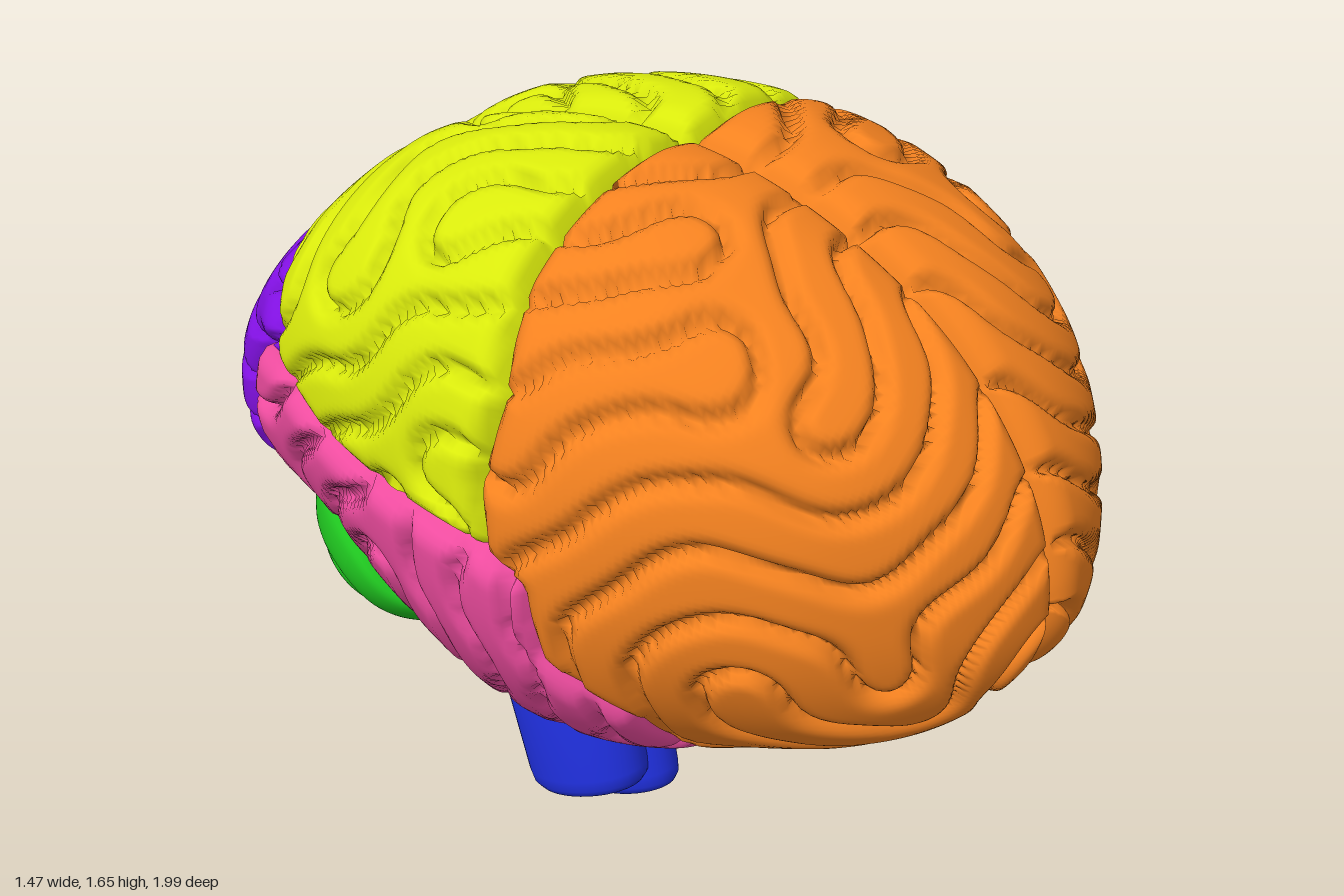
import * as THREE from 'three';

const material = (color) => new THREE.MeshStandardMaterial({ color });
const GREY = material(0xcccccc), BLUE = material(0x2030e0);

// Outline of the cerebrum at even angles from the front pole to the back pole
const TOP = [0.85, 1.05, 1.24, 1.41, 1.54, 1.63, 1.66, 1.63, 1.54, 1.37, 1.20, 1.06, 0.93];
const BOTTOM = [0.85, 0.70, 0.58, 0.49, 0.43, 0.35, 0.34, 0.45, 0.59, 0.65, 0.67, 0.77, 0.93];
const WIDTH = [0, 0.19, 0.37, 0.54, 0.66, 0.73, 0.72, 0.67, 0.59, 0.49, 0.37, 0.2, 0];
const NEGATIVE_WIDTH = WIDTH.map((w) => -w);

// Smooth lookup; past a pole the profile continues on the opposite side
function sample(table, opposite, u) {
  const get = (k) => (k < 0 ? opposite[-k] : k > 12 ? opposite[24 - k] : table[k]);
  const k = Math.min(11, Math.floor(u)), f = u - k;
  const a = get(k - 1), b = get(k), c = get(k + 1), d = get(k + 2);
  return b + 0.5 * f * (c - a + f * (2 * a - 5 * b + 4 * c - d + f * (3 * (b - c) + d - a)));
}

// Point on the smooth half cerebrum: t runs front to back, phi from top to underside
function basePoint(t, phi) {
  const u = (t / Math.PI) * 12;
  const top = sample(TOP, BOTTOM, u), bottom = sample(BOTTOM, TOP, u);
  const s = Math.sin(phi), c = Math.cos(phi), n = c > 0 ? 2.4 : 2.2;
  const r = Math.pow(Math.pow(Math.abs(s), n) + Math.pow(Math.abs(c), n), -1 / n);
  const x = sample(WIDTH, NEGATIVE_WIDTH, u) * s * r;
  const notch = 1 - (c > 0 ? 0.04 : 0.14) * Math.exp(-((x / 0.1) ** 2));
  return new THREE.Vector3(x, (top + bottom) / 2 + ((top - bottom) / 2) * c * r * notch, Math.cos(t));
}

// Grid of surface points with outward normals and area weights
function surfaceGrid(rows, cols) {
  const grid = [], e = 0.004;
  for (let i = 0; i <= rows; i++) {
    for (let j = 0; j <= cols; j++) {
      const t = 0.01 + (Math.PI - 0.02) * (i / rows), phi = Math.PI * (j / cols);
      const p = basePoint(t, phi);
      const dPhi = basePoint(t, phi + e).sub(basePoint(t, phi - e));
      const dT = basePoint(t + e, phi).sub(basePoint(t - e, phi));
      const n = dPhi.cross(dT);
      grid.push({ p, weight: n.length(), n: n.normalize() });
    }
  }
  return { grid, rows, cols };
}

// Labyrinth of winding folds: narrow blur minus wide blur, repeated until bands of even width form
const NARROW = 0.044, WIDE = 0.088, REACH = 0.22;
function bandKernel(p, points) {
  const near = [];
  let sumA = 0, sumB = 0;
  points.forEach((o, k) => {
    const d2 = p.distanceToSquared(o.p);
    if (d2 > REACH * REACH) return;
    const a = o.weight * Math.exp(-d2 / (2 * NARROW * NARROW));
    const b = o.weight * Math.exp(-d2 / (2 * WIDE * WIDE));
    sumA += a;
    sumB += b;
    near.push([k, a, b]);
  });
  return near.map(([k, a, b]) => [k, a / sumA - b / sumB]);
}
const applyKernel = (kernel, values) => kernel.reduce((sum, [k, w]) => sum + w * values[k], 0);

function addFolds(grid) {
  const points = surfaceGrid(68, 48).grid;
  const kernels = points.map(({ p }) => bandKernel(p, points));
  let seed = 7;
  let values = points.map(() => (seed = (seed * 16807) % 2147483647) / 1073741823 - 1);
  for (let step = 0; step < 30; step++) {
    const old = values;
    values = kernels.map((kernel) => Math.tanh(6 * applyKernel(kernel, old)));
  }
  for (const v of grid) v.q = Math.abs(applyKernel(bandKernel(v.p, points), values)) / 0.45;
}

// Rounded ridge with a sharp valley
const ridge = (q) => Math.sqrt(1 - (1 - THREE.MathUtils.clamp(q, 0, 1)) ** 2) - 1;

// Signed distance to a polygon, positive inside
function insideDistance(poly, x, y) {
  let best = Infinity, inside = false;
  poly.forEach(([ax, ay], i) => {
    const [bx, by] = poly[(i + 1) % poly.length];
    const dx = bx - ax, dy = by - ay;
    const f = THREE.MathUtils.clamp(((x - ax) * dx + (y - ay) * dy) / (dx * dx + dy * dy), 0, 1);
    best = Math.min(best, Math.hypot(x - ax - f * dx, y - ay - f * dy));
    if ((ay > y) !== (by > y) && x < ax + ((y - ay) / dy) * dx) inside = !inside;
  });
  return inside ? best : -best;
}

// Lobe outlines seen from the side, as [z, y]
const LOBES = [
  { name: 'FrontalLobe', mat: material(0xf58220), poly: [[0.09, 2], [0.08, 1.5], [0.12, 1.3], [0.09, 1.12], [0.11, 0.98],
    [0.2, 0.93], [0.22, 0.76], [0.38, 0.62], [0.4, 0], [1.5, 0], [1.5, 2]] },
  { name: 'ParietalLobe', mat: material(0xd9ea0c), poly: [[0.09, 2], [0.08, 1.5], [0.12, 1.3], [0.09, 1.12], [0.11, 0.98],
    [-0.2, 1.01], [-0.4, 1.04], [-0.6, 1.12], [-0.63, 1.2], [-0.75, 1.36], [-0.9, 2]] },
  { name: 'TemporalLobe', mat: material(0xee4c9f), inner: 0.12, poly: [[0.11, 0.98], [-0.2, 1.01], [-0.4, 1.04],
    [-0.6, 1.12], [-0.72, 1.12], [-0.77, 0.98], [-0.76, 0.83], [-0.62, 0.66], [-0.6, 0], [0.4, 0], [0.38, 0.62],
    [0.22, 0.76], [0.2, 0.93]] },
  { name: 'OccipitalLobe', mat: material(0x8010e0), poly: [[-0.6, 1.12], [-0.63, 1.2], [-0.75, 1.36], [-0.9, 2],
    [-1.5, 2], [-1.5, 0], [-0.6, 0], [-0.62, 0.66], [-0.76, 0.83], [-0.77, 0.98], [-0.72, 1.12]] },
];

// Skin one side of the grid; height(v) offsets along the normal, null leaves a gap
function skin({ grid, rows, cols }, side, height) {
  const positions = [], index = [], slot = [];
  const heights = grid.map(height);
  const use = (k) => {
    if (slot[k] === undefined) {
      slot[k] = positions.length / 3;
      const v = grid[k].p.clone().addScaledVector(grid[k].n, heights[k]);
      positions.push(side * Math.max(0, v.x), v.y, v.z);
    }
    return slot[k];
  };
  const tri = (a, b, c) => {
    if ([a, b, c].some((k) => heights[k] === null)) return;
    index.push(...(side > 0 ? [a, b, c] : [a, c, b]).map(use));
  };
  for (let i = 0; i < rows; i++) {
    for (let j = 0; j < cols; j++) {
      const a = i * (cols + 1) + j, b = a + cols + 1;
      tri(a, a + 1, b);
      tri(a + 1, b + 1, b);
    }
  }
  const geometry = new THREE.BufferGeometry();
  geometry.setAttribute('position', new THREE.Float32BufferAttribute(positions, 3));
  geometry.setIndex(index);
  geometry.computeVertexNormals();
  return geometry;
}

// Cerebellum: an ellipsoid narrowing to the back, wrapped in wavering bands
function cerebellumGeometry() {
  const geometry = new THREE.SphereGeometry(1, 90, 64);
  const pos = geometry.attributes.position, n = new THREE.Vector3();
  for (let i = 0; i < pos.count; i++) {
    n.fromBufferAttribute(pos, i);
    const q = Math.abs(Math.sin(4.5 * Math.acos(THREE.MathUtils.clamp(n.y, -1, 1)) + 0.9 * Math.sin(4 * n.x + 3 * n.z)));
    const p = n.clone().multiply(new THREE.Vector3(0.31 * (1 + 0.22 * n.z), 0.2, 0.295));
    p.addScaledVector(n, 0.035 * ridge(q * 1.2));
    pos.setXYZ(i, p.x, p.y, p.z);
  }
  geometry.computeVertexNormals();
  return geometry;
}

export function createModel() {
  const model = new THREE.Group();
  const add = (name, geometry, mat, parent = model) => {
    const mesh = new THREE.Mesh(geometry, mat);
    mesh.name = name;
    parent.add(mesh);
    return mesh;
  };

  // Hemispheres: folded lobes over a plain inner core
  const fine = surfaceGrid(190, 140), coarse = surfaceGrid(48, 32);
  addFolds(fine.grid);
  for (const [side, label] of [[1, 'left'], [-1, 'right']]) {
    for (const { name, mat, poly, inner = 0 } of LOBES) {
      add(label + name, skin(fine, side, ({ p, q }) => {
        const d = Math.min(insideDistance(poly, p.z, p.y), inner ? p.x - inner : 1);
        if (d < -0.03) return null;
        return 0.07 * ridge(Math.min(q, d / 0.06, p.x / 0.07)) + 1.5 * Math.min(0, d);
      }), mat);
    }
    add(label + 'Core', skin(coarse, side, () => -0.085), GREY);
  }

  // Cerebellum tucked under the back
  const cerebellum = add('cerebellum', cerebellumGeometry(), material(0x1fc41f));
  cerebellum.position.set(0, 0.525, -0.64);
  cerebellum.rotation.x = 0.25;

  // Brain stem: two side columns and a longer middle one, leaning back
  const stem = new THREE.Group();
  stem.name = 'brainStem';
  stem.position.set(0, 0.07, -0.09);
  stem.rotation.x = -0.25;
  model.add(stem);
  const column = (name, mat, x, z, rx, rz, low, flare) => {
    const profile = [[0, 0], [0.88, 0], [0.97, 0.015], [1, 0.04], [flare, 0.6], [0, 0.6]];
    const geometry = new THREE.LatheGeometry(profile.map(([r, y]) => new THREE.Vector2(r, y)), 40);
    const mesh = add(name, geometry, mat, stem);
    mesh.position.set(x, low, z);
    mesh.scale.set(rx, 1, rz);
  };
  column('leftStemColumn', GREY, 0.085, -0.01, 0.1, 0.15, 0.015, 1.14);
  column('rightStemColumn', BLUE, -0.115, -0.01, 0.11, 0.15, 0, 1.18);
  column('middleStemColumn', BLUE, -0.012, 0.015, 0.09, 0.125, -0.05, 1.2);

  return model;
}
